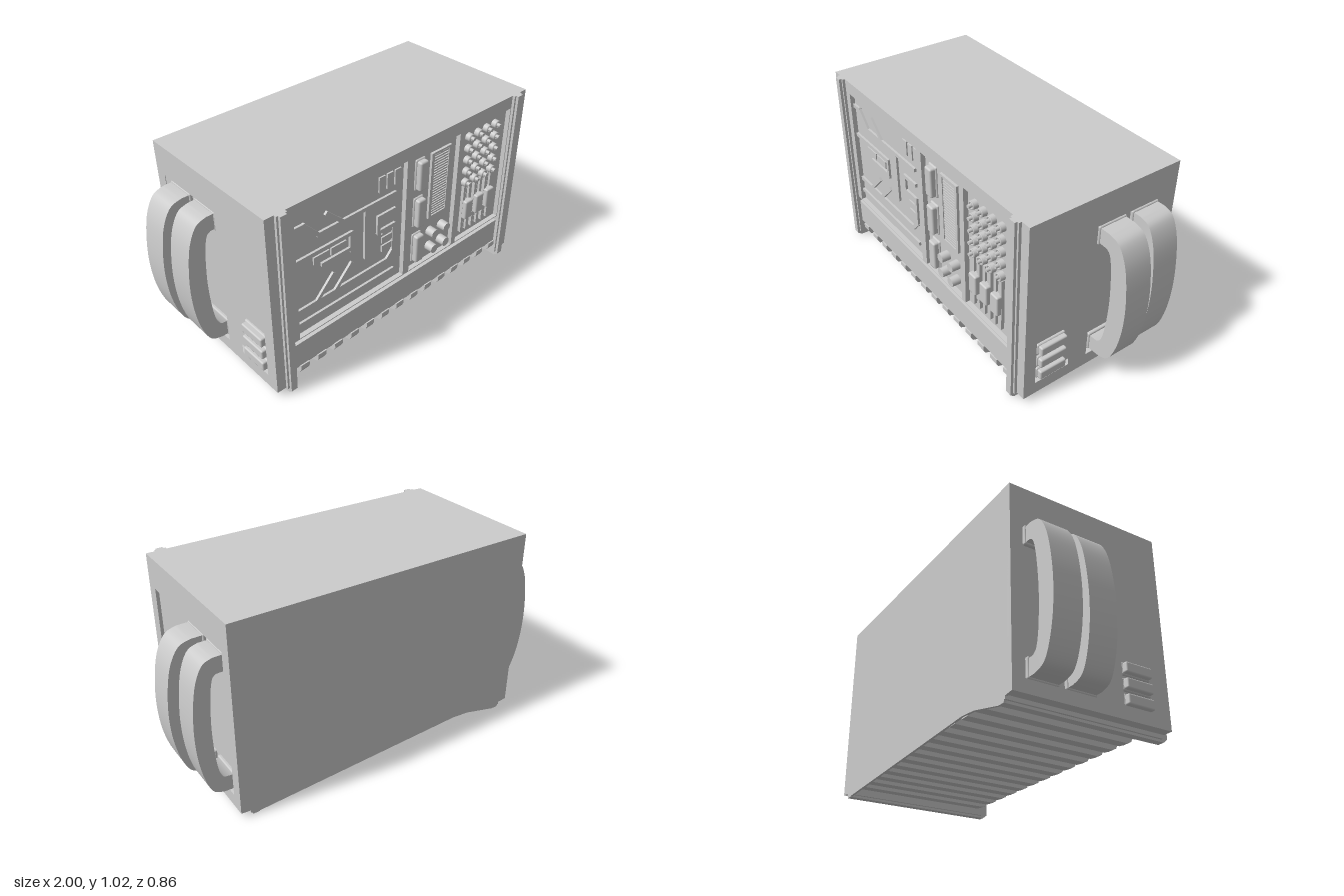
import * as THREE from 'three';
import { toCreasedNormals } from 'three/addons/utils/BufferGeometryUtils.js';
import { RoundedBoxGeometry } from 'three/addons/geometries/RoundedBoxGeometry.js';

const mat = new THREE.MeshStandardMaterial({ color: 0xcccccc });
const CX = -0.0075, HW = 0.8275; // case centre and half width
const BACK = -0.427, FRONT = 0.4, FLOOR = 0.375; // FLOOR: bottom of the front recesses

export function createModel() {
  const root = new THREE.Group();

  const add = (name, geo) => {
    const m = new THREE.Mesh(geo, mat);
    m.name = name;
    root.add(m);
    return m;
  };
  // box from its limits
  const box = (name, x0, x1, y0, y1, z0, z1) =>
    add(name, new THREE.BoxGeometry(x1 - x0, y1 - y0, z1 - z0)
      .translate((x0 + x1) / 2, (y0 + y1) / 2, (z0 + z1) / 2));
  const soft = (name, x0, x1, y0, y1, z0, z1, r = 0.008) =>
    add(name, new RoundedBoxGeometry(x1 - x0, y1 - y0, z1 - z0, 2, r)
      .translate((x0 + x1) / 2, (y0 + y1) / 2, (z0 + z1) / 2));
  const poly = (pts) => pts.map(([x, y]) => new THREE.Vector2(x, y));
  const rect = (x0, x1, y0, y1) => poly([[x0, y0], [x1, y0], [x1, y1], [x0, y1]]);
  const plate = (pts, holes, depth) => {
    const s = new THREE.Shape(pts);
    s.holes = holes.map((h) => new THREE.Path(h));
    return new THREE.ExtrudeGeometry(s, { depth, bevelEnabled: false });
  };
  // profile of [z, y] points extruded along x
  const alongX = (name, pts, x0, x1, holes = []) => {
    const flip = (list) => poly(list.map(([z, y]) => [-z, y]));
    return add(name, plate(flip(pts), holes.map(flip), x1 - x0).rotateY(Math.PI / 2).translate(x0, 0, 0));
  };
  const zy = (z0, z1, y0, y1) => [[z0, y0], [z1, y0], [z1, y1], [z0, y1]];

  // case
  box('core', CX - 0.8, CX + 0.8, 0.08, 1.0, BACK + 0.01, FLOOR);
  box('topPanel', CX - HW, CX + HW, 0.995, 1.02, BACK, FRONT);
  add('backPanel', plate(poly([[CX - HW, 0.035], [-0.785, 0.03], [-0.775, 0.005], [-0.735, 0.005],
    [-0.55, 0.05], [-0.45, 0.058], [0.72, 0.008], [0.76, 0.005], [0.77, 0.03], [CX + HW, 0.035],
    [CX + HW, 1.02], [CX - HW, 1.02]]), [], 0.012).translate(0, 0, BACK));

  // front frame with three recessed panels, and the strip below
  add('frontFrame', plate(rect(-0.735, 0.72, 0.28, 1.02),
    [rect(-0.69, -0.03, 0.285, 0.95), rect(0.01, 0.33, 0.285, 0.95), rect(0.36, 0.71, 0.285, 0.95)],
    FRONT - FLOOR + 0.005).translate(0, 0, FLOOR - 0.005));
  alongX('lowerStrip', [[0.36, 0.08], [0.375, 0.08], [0.395, 0.11], [0.395, 0.25], [0.36, 0.25]], -0.735, 0.72);

  // floor ribs wrapping up at the front
  for (let i = 0; i < 14; i++) {
    const x = -0.693 + i * 0.1046;
    alongX('floorRib', [[BACK + 0.01, 0.052], [0.36, 0.052], [0.39, 0.063], [0.402, 0.085], [0.402, 0.11], [BACK + 0.01, 0.11]],
      x, x + 0.05);
  }

  const sidePanel = zy(BACK, FRONT, 0.035, 1.02);
  const recesses = [zy(0.14, 0.335, 0.085, 0.862), zy(-0.365, 0.03, 0.085, 0.862)];
  // runner up the front and along the floor, with a chamfered corner
  const runner = [[BACK, 0.004], [0.405, 0.004], [0.428, 0.022], [0.428, 1.02], [0.37, 1.02], [0.37, 0.1], [BACK, 0.1]];
  const step = runner.map(([z, y]) => [z > 0.4 ? z - 0.014 : z, y < 0.03 ? y + 0.012 : y]);

  for (const s of [-1, 1]) {
    // limits given outward from the case centre
    const span = (a, b) => (s > 0 ? [CX + a, CX + b] : [CX - b, CX - a]);
    alongX('sidePanel', sidePanel, ...span(0.798, HW), recesses);
    box('cornerPost', ...span(0.77, HW - 0.001), 0.035, 1.02, FLOOR - 0.01, FRONT);
    box('bottomEdge', ...span(0.77, HW - 0.001), 0.035, 0.1, BACK, FRONT);
    alongX('runner', runner, ...span(0.733, 0.768));
    alongX('runnerStep', step, ...span(0.722, 0.778));

    // side vents
    for (const y of [0.11, 0.185, 0.26]) {
      soft('sideVent', ...span(0.79, 0.836), y, y + 0.05, 0.16, 0.31);
      soft('ventSurround', ...span(0.79, 0.812), y - 0.006, y + 0.056, 0.154, 0.316);
    }

    // paired carrying handles with sockets
    [[-0.145, s > 0 ? 1.0 : 0.985], [-0.337, s > 0 ? 0.967 : 1.0]].forEach(([z, reach]) => {
      const k = (reach - 0.8) / 0.2;
      const at = ([x, y]) => new THREE.Vector2(s * (0.8 + (x - 0.8) * k), y);
      const outer = [[0.86, 0.832], [0.92, 0.81], [0.965, 0.73], [0.99, 0.61], [1.0, 0.47],
        [0.99, 0.33], [0.96, 0.21], [0.92, 0.14], [0.86, 0.118]].map(at);
      const inner = [[0.85, 0.2], [0.875, 0.225], [0.893, 0.31], [0.902, 0.47],
        [0.893, 0.63], [0.875, 0.725], [0.85, 0.75]].map(at);
      const shape = new THREE.Shape();
      shape.moveTo(...at([0.785, 0.832]).toArray());
      shape.lineTo(...outer[0].toArray());
      shape.splineThru(outer.slice(1));
      shape.lineTo(...at([0.785, 0.115]).toArray());
      shape.lineTo(...at([0.785, 0.195]).toArray());
      shape.lineTo(...inner[0].toArray());
      shape.splineThru(inner.slice(1));
      shape.lineTo(...at([0.785, 0.752]).toArray());
      const geo = new THREE.ExtrudeGeometry(shape, { depth: 0.145, bevelEnabled: false, curveSegments: 4 });
      add('handle', toCreasedNormals(geo, 0.6).translate(0, 0, z));
      for (const y of [0.108, 0.74])
        soft('handleSocket', ...span(0.785, 0.815), y, y + 0.1, z - 0.007, z + 0.152);
    });
  }

  // raised circuit traces on the left panel
  const traces = [
    [[-0.69, 0.88], [-0.63, 0.88], [-0.55, 0.795], [-0.09, 0.795]],
    [[-0.5, 0.88], [-0.41, 0.795]],
    [[-0.27, 0.795], [-0.27, 0.52]],
    [[-0.69, 0.705], [-0.36, 0.705], [-0.36, 0.61]],
    [[-0.53, 0.62], [-0.36, 0.62]],
    [[-0.09, 0.705], [-0.19, 0.705], [-0.19, 0.62], [-0.09, 0.62], [-0.09, 0.47], [-0.13, 0.425], [-0.69, 0.425]],
    [[-0.57, 0.425], [-0.47, 0.53]],
    [[-0.46, 0.425], [-0.36, 0.53]],
    [[-0.69, 0.345], [-0.09, 0.345]],
  ];
  for (const t of traces)
    for (let i = 1; i < t.length; i++) {
      const [[ax, ay], [bx, by]] = [t[i - 1], t[i]];
      const m = add('circuitTrace', new THREE.BoxGeometry(Math.hypot(bx - ax, by - ay) + 0.016, 0.02, 0.02));
      m.position.set((ax + bx) / 2, (ay + by) / 2, FLOOR + 0.002);
      m.rotation.z = Math.atan2(by - ay, bx - ax);
    }
  // small chips between the traces
  for (let i = 0; i < 3; i++) {
    box('tallChip', -0.19 + i * 0.05, -0.152 + i * 0.05, 0.84, 0.92, FLOOR - 0.01, FLOOR + 0.008);
    box('sideChip', -0.165, -0.1, 0.54 + i * 0.05 - 0.05, 0.575 + i * 0.05 - 0.05, FLOOR - 0.01, FLOOR + 0.008);
    if (i < 2) box('wideChip', -0.58 + i * 0.1, -0.49 + i * 0.1, 0.64, 0.68, FLOOR - 0.01, FLOOR + 0.008);
  }

  const disc = (name, x, y, r, z1, sides = 20) =>
    add(name, new THREE.CylinderGeometry(r * 0.92, r, z1 - FLOOR + 0.01, sides)
      .rotateX(Math.PI / 2).translate(x, y, (z1 + FLOOR - 0.01) / 2));

  // middle panel: push buttons, louvred grille, round buttons
  for (const y of [0.315, 0.53, 0.745]) {
    soft('pushButton', 0.052, 0.105, y, y + 0.16, FLOOR - 0.02, 0.411, 0.01);
    soft('buttonSurround', 0.046, 0.111, y - 0.006, y + 0.166, FLOOR - 0.02, 0.384);
  }
  add('grilleFrame', plate(rect(0.15, 0.287, 0.53, 0.908), [rect(0.168, 0.27, 0.542, 0.897)], 0.015).translate(0, 0, FLOOR - 0.002));
  for (let i = 0; i < 24; i++) {
    const y = 0.545 + i * 0.0147;
    box('grilleSlat', 0.166, 0.272, y, y + 0.009, FLOOR - 0.01, FLOOR + 0.009);
  }
  for (const x of [0.175, 0.26]) for (const y of [0.35, 0.443]) disc('roundButton', x, y, 0.026, 0.421);

  // right panel: knob grid and sliders
  for (let c = 0; c < 4; c++)
    for (let r = 0; r < 5; r++) {
      const x = 0.42 + c * 0.066, y = 0.628 + r * 0.066;
      disc('knobBase', x, y, 0.023, 0.398, 16);
      add('knobRing', new THREE.TorusGeometry(0.017, 0.005, 6, 16).translate(x, y, 0.398));
      disc('knobCap', x, y, 0.01, 0.418, 12);
    }
  for (const x of [0.437, 0.522, 0.605]) {
    for (const side of [-1, 1])
      box('sliderRail', x + side * 0.021 - 0.008, x + side * 0.021 + 0.008, 0.32, 0.608, FLOOR - 0.01, 0.392);
    box('sliderStem', x - 0.004, x + 0.004, 0.32, 0.608, FLOOR - 0.01, 0.386);
    soft('sliderKnob', x - 0.028, x + 0.028, 0.41, 0.52, FLOOR - 0.01, 0.416);
  }
  return root;
}
